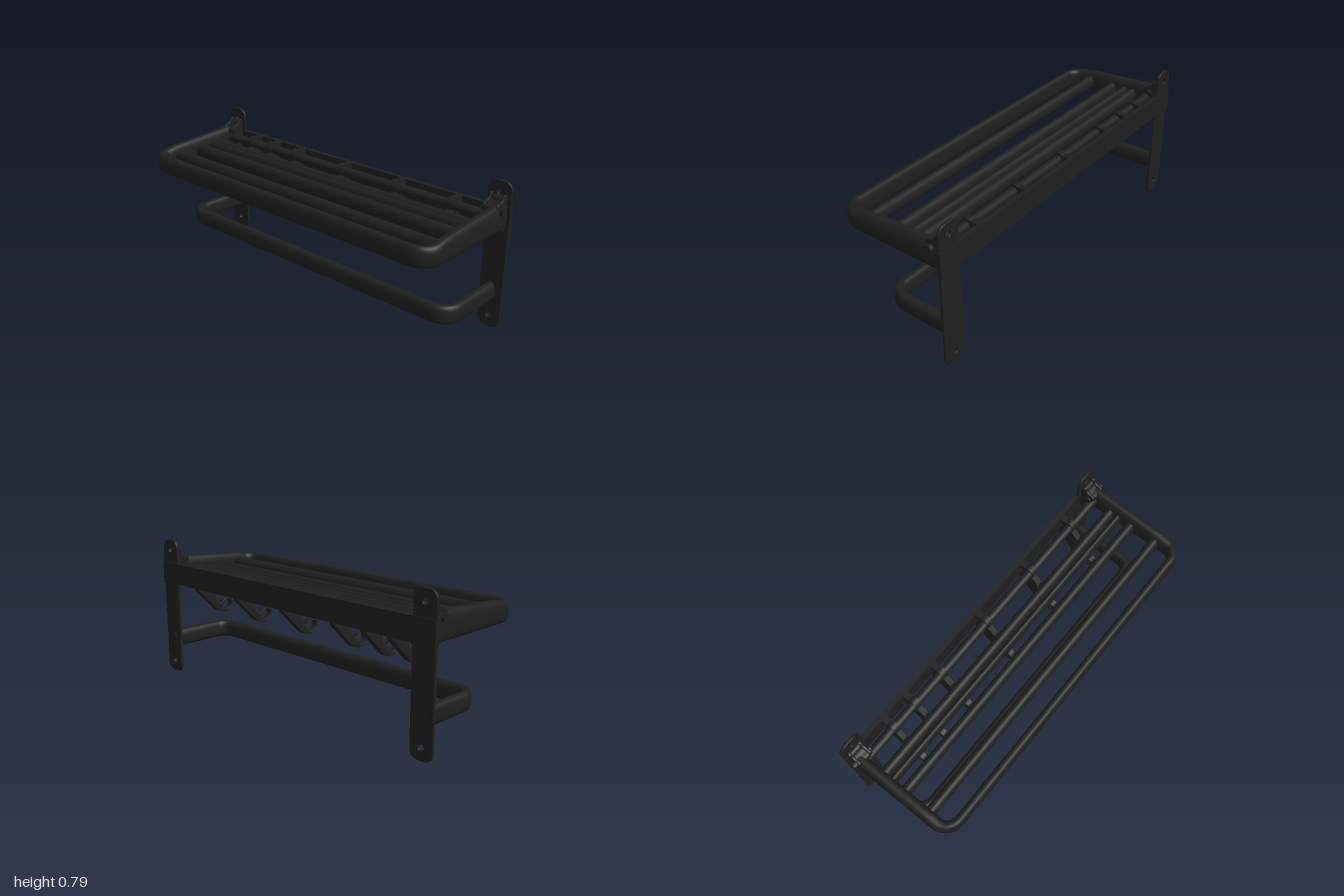
import * as THREE from 'three';

const black = new THREE.MeshStandardMaterial({ color: 0x1f1f1f });
black.name = 'matte black';

function add(parent, name, geometry, x = 0, y = 0, z = 0) {
  const mesh = new THREE.Mesh(geometry, black);
  mesh.name = name;
  mesh.position.set(x, y, z);
  parent.add(mesh);
  return mesh;
}

// U-shaped plan path: back left, round both front corners, back right
function uPath(halfX, backZ, frontZ, r) {
  const pts = [];
  const corner = frontZ - r;
  for (let i = 0; i < 12; i++) pts.push([halfX, backZ + (corner - backZ) * i / 12, 1, 0]);
  for (let i = 0; i <= 10; i++) {
    const a = i / 10 * Math.PI / 2;
    pts.push([halfX - r + r * Math.cos(a), corner + r * Math.sin(a), Math.cos(a), Math.sin(a)]);
  }
  return pts.concat(pts.slice().reverse().map(([x, z, nx, nz]) => [-x, z, -nx, nz]));
}

// Sweep a flattened tube along the path; its top edge may follow z
function sweepBar(path, bottom, topAt, sideWidth, frontWidth) {
  const n = 28, pos = [], idx = [];
  const round = (v, e) => Math.sign(v) * Math.abs(v) ** e;
  path.forEach(([x, z, nx, nz], i) => {
    const top = topAt(z), mid = (top + bottom) / 2, h = (top - bottom) / 2;
    const w = THREE.MathUtils.lerp(sideWidth, frontWidth, Math.abs(nz)) / 2;
    for (let j = 0; j < n; j++) {
      const a = j / n * Math.PI * 2;
      const o = w * round(Math.cos(a), 0.8);
      pos.push(x + nx * o, mid + h * round(Math.sin(a), 0.75), z + nz * o);
      if (i < path.length - 1) {
        const k = (j + 1) % n, p = i * n, q = p + n;
        idx.push(p + j, p + k, q + j, p + k, q + k, q + j);
      }
    }
  });
  const g = new THREE.BufferGeometry();
  g.setAttribute('position', new THREE.Float32BufferAttribute(pos, 3));
  g.setIndex(idx);
  g.computeVertexNormals();
  return g;
}

// Straight bar along x with an oval section
function ovalBar(length, height, depth) {
  return new THREE.CylinderGeometry(0.5, 0.5, length, 24).rotateZ(Math.PI / 2).scale(1, height, depth);
}

// Extrude a (z, y) outline across x, centred on x = 0
function extrudeX(shape, width, bevel = 0.004) {
  return new THREE.ExtrudeGeometry(shape, {
    depth: width - bevel * 2, bevelSize: bevel, bevelOffset: -bevel, bevelThickness: bevel,
    bevelSegments: 2, curveSegments: 16,
  }).translate(0, 0, bevel - width / 2).rotateY(-Math.PI / 2);
}

function plateShape(w, h, r) {
  const s = new THREE.Shape(), a = w / 2;
  s.moveTo(-a + r, 0).lineTo(a - r, 0).quadraticCurveTo(a, 0, a, r).lineTo(a, h - r)
    .quadraticCurveTo(a, h, a - r, h).lineTo(-a + r, h).quadraticCurveTo(-a, h, -a, h - r)
    .lineTo(-a, r).quadraticCurveTo(-a, 0, -a + r, 0);
  return s;
}

function hookShape() {
  const s = new THREE.Shape();
  s.moveTo(-0.305, 0.54).lineTo(-0.305, 0.52).lineTo(-0.175, 0.392)
    .quadraticCurveTo(-0.145, 0.37, -0.115, 0.37)
    .bezierCurveTo(-0.085, 0.37, -0.058, 0.395, -0.06, 0.42)
    .bezierCurveTo(-0.062, 0.455, -0.115, 0.458, -0.135, 0.432)
    .quadraticCurveTo(-0.148, 0.422, -0.16, 0.428)
    .quadraticCurveTo(-0.178, 0.435, -0.178, 0.47).lineTo(-0.178, 0.56)
    .lineTo(-0.215, 0.60).lineTo(-0.27, 0.60);
  const eye = new THREE.Path();
  eye.absellipse(-0.104, 0.412, 0.035, 0.027, 0, Math.PI * 2, true, 0.35);
  s.holes.push(eye);
  return s;
}

function bracketShape() {
  return new THREE.Shape()
    .moveTo(-0.315, 0.54).lineTo(-0.285, 0.54)
    .quadraticCurveTo(-0.255, 0.56, -0.252, 0.60).lineTo(-0.225, 0.66)
    .quadraticCurveTo(-0.215, 0.69, -0.245, 0.695)
    .quadraticCurveTo(-0.27, 0.70, -0.278, 0.722)
    .quadraticCurveTo(-0.295, 0.74, -0.315, 0.715);
}

export function createModel() {
  const model = new THREE.Group();
  model.name = 'towelShelf';

  // Wall plates with screw holes, sleeves, brackets and pivots
  for (const side of [1, -1]) {
    const end = new THREE.Group();
    end.name = side > 0 ? 'leftMount' : 'rightMount';
    const x = side * 0.934;
    const shape = plateShape(0.13, 0.79, 0.055);
    for (const y of [0.065, 0.73]) {
      shape.holes.push(new THREE.Path().absarc(0, y, 0.015, 0, Math.PI * 2, true));
    }
    add(end, 'wallPlate', new THREE.ExtrudeGeometry(shape, {
      depth: 0.008, bevelSize: 0.004, bevelOffset: -0.004, bevelThickness: 0.004, bevelSegments: 3, curveSegments: 16,
    }), x, 0, -0.318);
    add(end, 'plateSleeve', new THREE.BoxGeometry(0.132, 0.13, 0.026), x, 0.595, -0.315);
    for (const dx of [-0.036, 0.036]) {
      add(end, 'bracketCheek', extrudeX(bracketShape(), 0.016), x + side * dx, 0, 0);
    }
    add(end, 'bracketBody', extrudeX(bracketShape(), 0.06), x, -0.012, 0);
    add(end, 'pivotPin', new THREE.CylinderGeometry(0.02, 0.02, 0.12, 20).rotateZ(Math.PI / 2), x + side * 0.005, 0.655, -0.255);
    // Oval fixing on the back of the plate
    add(end, 'railFixing', new THREE.CylinderGeometry(0.024, 0.024, 0.006, 24)
      .rotateX(Math.PI / 2).scale(1, 1.7, 1), x, 0.2, -0.321);
    model.add(end);
  }

  // Shelf rim, rising gently towards the wall
  const rimTop = z => z > 0.25 ? 0.645
    : z > 0.17 ? THREE.MathUtils.mapLinear(z, 0.25, 0.17, 0.645, 0.66)
      : THREE.MathUtils.mapLinear(z, 0.17, -0.25, 0.66, 0.687);
  add(model, 'shelfRim', sweepBar(uPath(0.953, -0.308, 0.303, 0.08), 0.538, rimTop, 0.066, 0.05));

  // Shelf slats
  for (const [z, depth] of [[-0.128, 0.056], [-0.075, 0.04], [0.008, 0.056], [0.167, 0.056]]) {
    add(model, 'slat', ovalBar(1.86, 0.08, depth), 0, 0.595, z);
  }

  // Back strip and hook rail
  add(model, 'backStrip', new THREE.BoxGeometry(1.8, 0.12, 0.026), 0, 0.597, -0.315);
  add(model, 'hookRail', ovalBar(1.86, 0.05, 0.05), 0, 0.625, -0.24);

  // Hooks clipped over the rail
  const hookGeo = extrudeX(hookShape(), 0.036);
  const clipGeo = new THREE.CylinderGeometry(0.034, 0.034, 0.036, 24).rotateZ(Math.PI / 2);
  for (const x of [-0.725, -0.565, -0.362, -0.005, 0.365, 0.715]) {
    const hook = new THREE.Group();
    hook.name = 'hook';
    add(hook, 'hookArm', hookGeo);
    add(hook, 'hookClip', clipGeo, 0, 0.63, -0.245);
    add(hook, 'hookTab', new THREE.BoxGeometry(0.036, 0.03, 0.05), 0, 0.642, -0.28);
    hook.position.x = x;
    model.add(hook);
  }

  // Lower towel rail
  add(model, 'towelRail', sweepBar(uPath(0.93, -0.312, 0.067, 0.08), 0.15, () => 0.25, 0.058, 0.056));
  return model;
}
